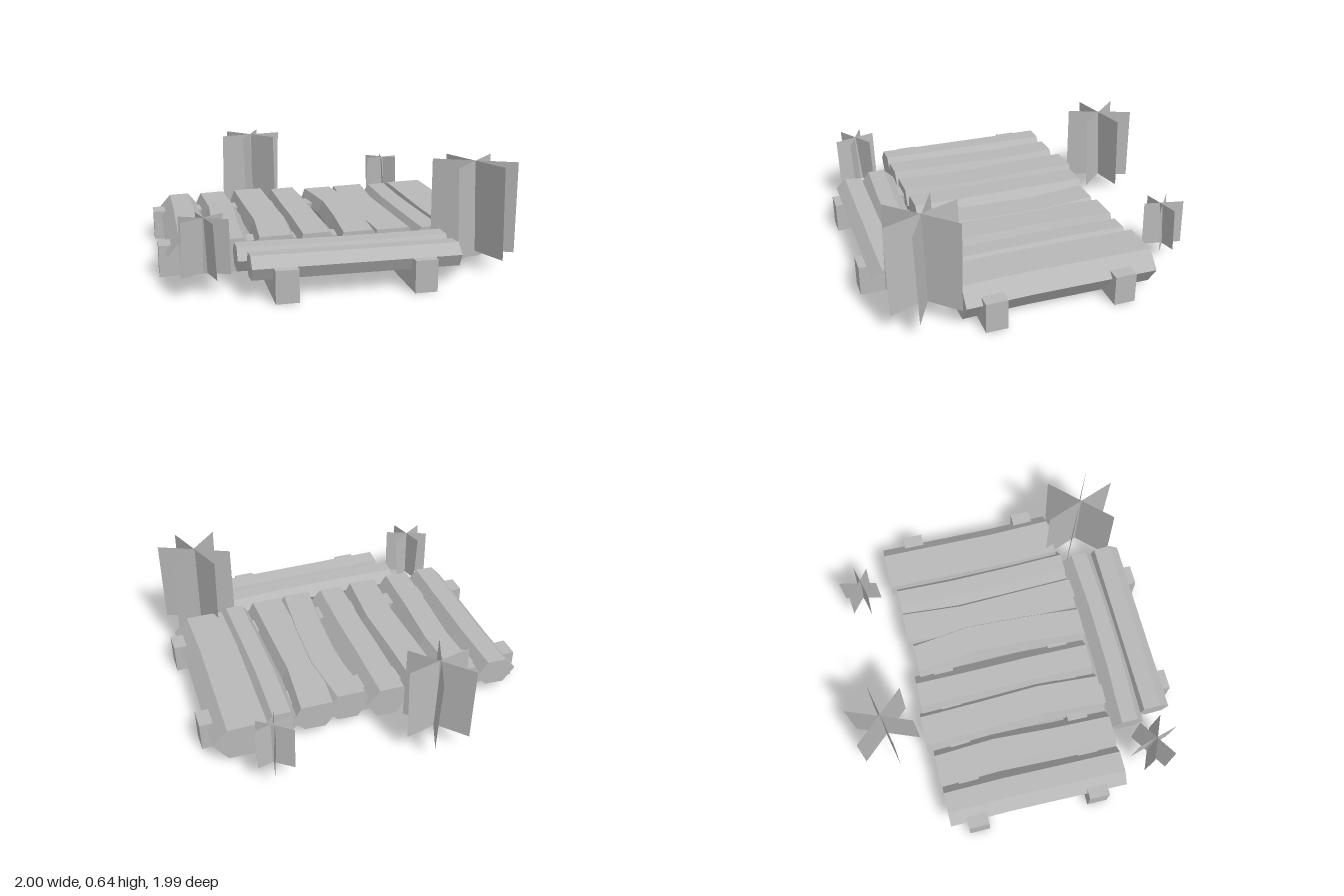
import * as THREE from 'three';

export function createModel() {
  const model = new THREE.Group();
  const wood = new THREE.MeshStandardMaterial({ color: 0xb8b8b8, flatShading: true });
  wood.name = 'plain grey';
  const foliage = new THREE.MeshStandardMaterial({ color: 0xb8b8b8, side: THREE.DoubleSide });
  foliage.name = 'plain grey two sided';

  const add = (name, geometry, material = wood) => {
    const mesh = new THREE.Mesh(geometry, material);
    mesh.name = name;
    model.add(mesh);
    return mesh;
  };

  // Faceted log: a clockwise [across, height] section swept along z (or x),
  // with a sideways shift at each evenly spaced station
  function logGeometry(section, from, to, bends, alongX = false) {
    const ring = alongX ? [...section].reverse() : section;
    const n = ring.length, last = bends.length - 1;
    const position = [], index = [];
    bends.forEach((bend, i) => {
      const t = from + (to - from) * i / last;
      for (const [u, y] of ring) position.push(...(alongX ? [t, y, u + bend] : [u + bend, y, t]));
    });
    for (let i = 0; i < last; i++) {
      for (let k = 0; k < n; k++) {
        const a = i * n + k, b = i * n + (k + 1) % n;
        index.push(a, a + n, b, b, a + n, b + n);
      }
    }
    for (let k = 1; k < n - 1; k++) {
      index.push(0, k, k + 1, last * n, last * n + k + 1, last * n + k);
    }
    const indexed = new THREE.BufferGeometry();
    indexed.setAttribute('position', new THREE.Float32BufferAttribute(position, 3));
    indexed.setIndex(index);
    const geometry = indexed.toNonIndexed();
    geometry.computeVertexNormals();
    return geometry;
  }

  // Square beams: two under the deck, two short ones under the step
  for (const z of [-0.38, 0.37]) {
    add('deckBeam', new THREE.BoxGeometry(2, 0.18, 0.125)).position.set(0, 0.09, z);
  }
  for (const x of [-0.375, 0.375]) {
    add('stepBeam', new THREE.BoxGeometry(0.125, 0.18, 0.58)).position.set(x, 0.09, 0.7);
  }

  // Deck logs: x of left, top left, top right, right; lowest y; z ends; bends
  const deck = [
    [-0.96, -0.89, -0.77, -0.70, 0.06, -0.545, 0.555, [0.005, 0.01, 0.005, 0]],
    [-0.72, -0.68, -0.53, -0.47, 0.05, -0.55, 0.555, [0, 0.02, 0, -0.01]],
    [-0.48, -0.45, -0.27, -0.22, 0.07, -0.585, 0.55, [0, 0.01, 0.025, 0]],
    [-0.23, -0.20, -0.05, 0.03, 0.035, -0.565, 0.54, [0, 0, 0.005, 0]],
    [0.00, 0.03, 0.20, 0.27, 0.05, -0.53, 0.555, [0, 0.045, 0.03, 0]],
    [0.20, 0.23, 0.42, 0.47, 0.06, -0.555, 0.55, [0.01, -0.02, -0.01, 0]],
    [0.43, 0.48, 0.59, 0.66, 0.06, -0.555, 0.55, [0.01, 0, 0.005, 0.015]],
    [0.62, 0.64, 0.87, 0.96, 0.015, -0.59, 0.525, [0, -0.005, -0.01, 0]],
  ];
  for (const [left, topLeft, topRight, right, low, back, front, bends] of deck) {
    const w = right - left;
    const section = [
      [left, 0.15], [topLeft, 0.23], [topRight, 0.235], [right, 0.145],
      [right - w * 0.25, low + 0.01], [left + w * 0.28, low],
    ];
    add('deckLog', logGeometry(section, back, front, bends));
  }

  // Two step logs lying across the front
  add('stepLogBack', logGeometry(
    [[0.555, 0.17], [0.62, 0.235], [0.72, 0.235], [0.765, 0.17], [0.72, 0.1], [0.6, 0.1]],
    -0.6, 0.58, [0, 0.015, 0.015, 0], true));
  add('stepLogFront', logGeometry(
    [[0.76, 0.17], [0.78, 0.225], [0.885, 0.235], [0.945, 0.18], [0.91, 0.11], [0.8, 0.1]],
    -0.55, 0.59, [0, 0, 0, 0], true));

  // Plants: three crossed upright sheets, each given by its two ends in plan
  const plants = [
    [0.575, [[-0.44, -0.965, -0.16, -0.66], [-0.22, -0.995, -0.37, -0.615], [-0.5, -0.76, -0.1, -0.85]]],
    [0.38, [[0.56, -0.86, 0.74, -0.72], [0.68, -0.9, 0.63, -0.67], [0.535, -0.745, 0.76, -0.8]]],
    [0.42, [[-0.9, 0.7, -0.645, 0.81], [-0.8, 0.635, -0.73, 0.89], [-0.9, 0.83, -0.67, 0.68]]],
    [0.64, [[0.54, 0.58, 0.965, 0.785], [0.67, 0.47, 0.835, 0.91], [0.92, 0.53, 0.59, 0.87]]],
  ];
  const bottom = 0.115, lean = 0.008;
  for (const [top, sheets] of plants) {
    for (const [x0, z0, x1, z1] of sheets) {
      const length = Math.hypot(x1 - x0, z1 - z0);
      const sheet = new THREE.PlaneGeometry(length, top - bottom);
      // Lean the sheet slightly off vertical
      sheet.rotateX(2 * lean / (top - bottom));
      sheet.rotateY(-Math.atan2(z1 - z0, x1 - x0));
      sheet.translate((x0 + x1) / 2, (top + bottom) / 2, (z0 + z1) / 2);
      add('plantSheet', sheet, foliage);
    }
  }
  return model;
}
